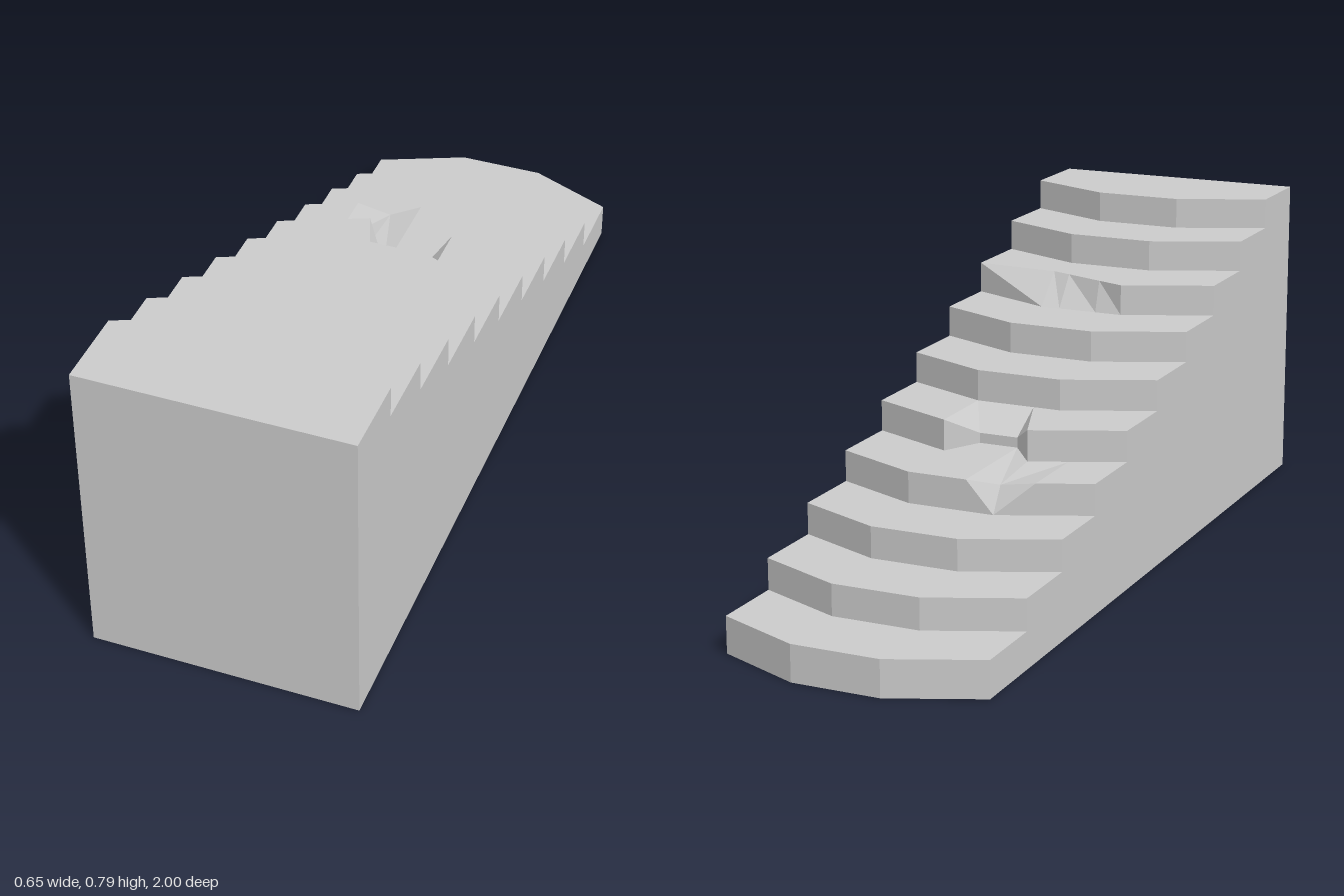
import * as THREE from 'three';

const STEPS = 10, PITCH = 0.19, RISE = 0.0773, FIRST = 0.09;
const HALF = 0.327, MID = 0.11;
const COLS = [-HALF, -0.2, -MID, -0.04, 0.06, MID, HALF];

// Front edge of a step: straight in the middle, swept back at both sides
const edgeZ = (i, x) => -1 + i * PITCH + 0.093 * Math.max(0, (Math.abs(x) - MID) / (HALF - MID));
const topY = (i) => (i < 0 ? 0 : FIRST + i * RISE);
const edgeRow = (i, y) => COLS.map((x) => new THREE.Vector3(x, y, edgeZ(i, x)));
const flatRow = (y, z) => COLS.map((x) => new THREE.Vector3(x, y, z));

// Worn places on three of the steps
function wear(i, lower, upper) {
  if (i === 3) { // chipped corner
    upper[2].z = -0.39;
    upper[2].y -= 0.015;
  }
  if (i === 4) { // broken notch with a sunken tread
    for (const k of [3, 4]) {
      lower[k].z = upper[k].z = -0.145;
      upper[k].y -= 0.052;
    }
  }
  if (i === 7) { // edge worn back on one side
    [[3, 0.355], [4, 0.392], [5, 0.41]].forEach(([k, z]) => { upper[k].z = z; });
  }
}

// Skin stretched over successive rows of points
function skin(rows) {
  const pos = [];
  const tri = (...pts) => pts.forEach((p) => pos.push(p.x, p.y, p.z));
  for (let r = 0; r + 1 < rows.length; r++) {
    for (let k = 0; k + 1 < COLS.length; k++) {
      const a = rows[r][k], b = rows[r][k + 1], c = rows[r + 1][k + 1], d = rows[r + 1][k];
      if (k < 2) { tri(a, d, b); tri(b, d, c); }
      else { tri(a, d, c); tri(a, c, b); }
    }
  }
  const g = new THREE.BufferGeometry();
  g.setAttribute('position', new THREE.Float32BufferAttribute(pos, 3));
  g.computeVertexNormals();
  return g;
}

export function createModel() {
  const group = new THREE.Group();
  group.name = 'staircase';
  const material = new THREE.MeshStandardMaterial({ color: 0xcccccc, flatShading: true });
  const sideMaterial = material.clone();
  sideMaterial.side = THREE.DoubleSide;
  const add = (name, geometry, mat = material) => {
    const mesh = new THREE.Mesh(geometry, mat);
    mesh.name = name;
    group.add(mesh);
    return mesh;
  };

  // Lower and upper edge of every riser
  const lower = [], upper = [];
  for (let i = 0; i < STEPS; i++) {
    lower.push(edgeRow(i, topY(i - 1)));
    upper.push(edgeRow(i, topY(i)));
    wear(i, lower[i], upper[i]);
  }
  const endTop = flatRow(topY(STEPS - 1), 1);
  const endBottom = flatRow(0, 1);

  // Risers and treads
  for (let i = 0; i < STEPS; i++) {
    add(`riser${i + 1}`, skin([lower[i], upper[i]]));
    add(`tread${i + 1}`, skin([upper[i], lower[i + 1] ?? endTop]));
  }

  // Tall end wall and underside
  add('endWall', skin([endTop, endBottom]));
  add('underside', skin([endBottom, lower[0]]));

  // Stepped side walls
  const outline = [];
  for (let i = 0; i < STEPS; i++) outline.push(lower[i][0], upper[i][0]);
  outline.push(endTop[0], endBottom[0]);
  const wall = new THREE.ShapeGeometry(new THREE.Shape(outline.map((p) => new THREE.Vector2(p.z, p.y))));
  wall.rotateY(-Math.PI / 2);
  add('rightWall', wall, sideMaterial).position.x = -HALF;
  add('leftWall', wall, sideMaterial).position.x = HALF;

  return group;
}
